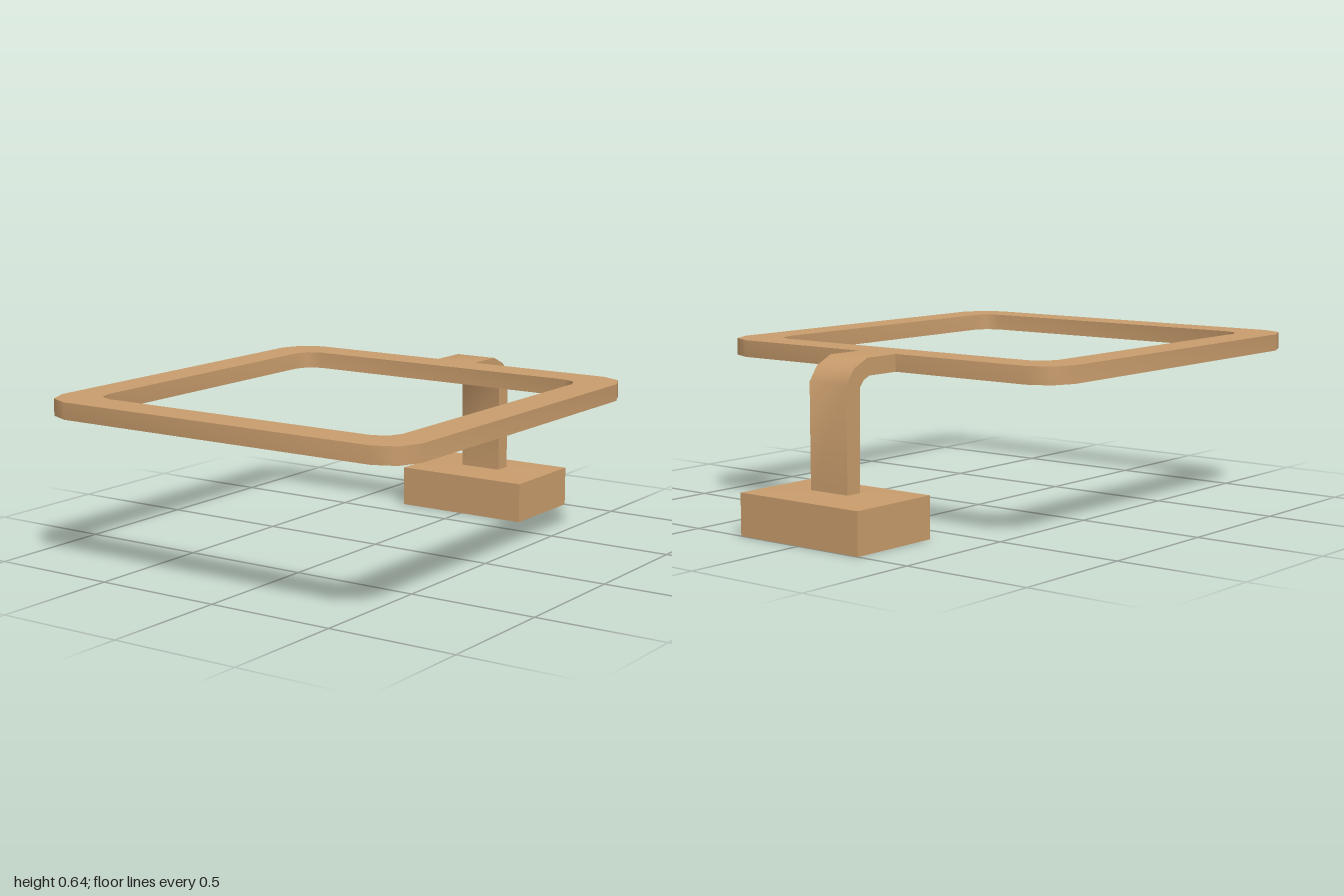
import * as THREE from 'three';
import { toCreasedNormals } from 'three/addons/utils/BufferGeometryUtils.js';

const material = new THREE.MeshStandardMaterial({ color: 0xc89c6c });

function addPart(group, name, geometry) {
  const mesh = new THREE.Mesh(geometry, material);
  mesh.name = name;
  group.add(mesh);
}

// Square outline, half size h, each corner cut into two facets: a = long inset, b = short inset
function roundedSquare(hx, hz, cz, a, b) {
  const points = [];
  for (const [sx, sz] of [[1, 1], [-1, 1], [-1, -1], [1, -1]]) {
    const corner = [[0, a], [b, b], [a, 0]].map(([dx, dz]) =>
      new THREE.Vector2(sx * (hx - dx), cz + sz * (hz - dz)));
    points.push(...(sx * sz > 0 ? corner : corner.reverse()));
  }
  return points;
}

export function createModel() {
  const group = new THREE.Group();

  // Flat open frame
  const frame = new THREE.Shape(roundedSquare(0.79, 0.79, 0.21, 0.12, 0.037));
  frame.holes.push(new THREE.Path(roundedSquare(0.65, 0.65, 0.21, 0.075, 0.022)));
  const frameGeo = new THREE.ExtrudeGeometry(frame, { depth: 0.064, bevelEnabled: false });
  frameGeo.rotateX(Math.PI / 2).translate(0, 0.642, 0);
  addPart(group, 'frame', toCreasedNormals(frameGeo, 0.8));

  // Bent arm: side profile as (z, y), extruded across x
  const profile = [
    [-0.58, 0.642], [-0.73, 0.642], [-0.80, 0.61], [-0.84, 0.555], [-0.84, 0.15],
    [-0.775, 0.15], [-0.77, 0.54], [-0.75, 0.565], [-0.72, 0.578], [-0.58, 0.578],
  ].map(([z, y]) => new THREE.Vector2(z, y));
  const armGeo = new THREE.ExtrudeGeometry(new THREE.Shape(profile), { depth: 0.176, bevelEnabled: false });
  armGeo.rotateY(-Math.PI / 2).translate(0.088, 0, 0);
  addPart(group, 'arm', toCreasedNormals(armGeo, 0.8));

  // Mounting block
  const block = new THREE.BoxGeometry(0.56, 0.158, 0.38).translate(0, 0.079, -0.81);
  addPart(group, 'base', block);

  // Very shallow slope on top of the block, rising to the foot of the arm
  const slope = new THREE.BoxGeometry(0.56, 0.008, 0.38).translate(0, 0.162, -0.81);
  const p = slope.attributes.position;
  for (let i = 0; i < p.count; i++) {
    if (p.getY(i) > 0.162) {
      p.setX(i, Math.sign(p.getX(i)) * 0.088);
      p.setZ(i, p.getZ(i) < -0.81 ? -0.84 : -0.775);
    }
  }
  addPart(group, 'baseTop', toCreasedNormals(slope, 0.3));

  return group;
}
